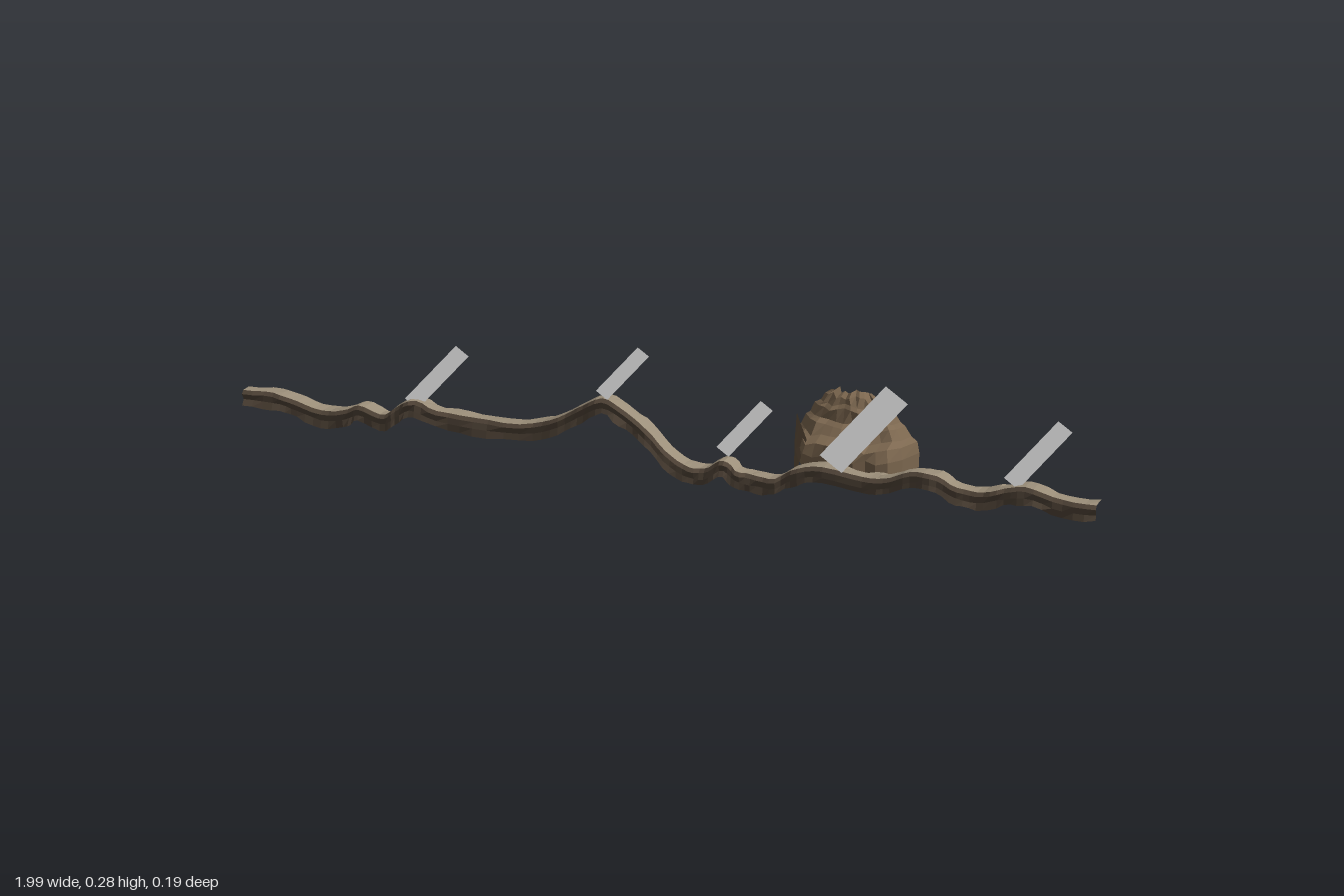
import * as THREE from 'three';

// repeatable pseudo-noise in [-1, 1]
const noise = (i, j = 0) => {
  const s = Math.sin(i * 127.1 + j * 311.7) * 43758.5453;
  return 2 * (s - Math.floor(s)) - 1;
};

// open faceted sheet through rows of [x, y, z] points
function sheet(name, rows, color) {
  const n = rows[0].length, index = [];
  for (let r = 0; r < rows.length - 1; r++)
    for (let c = 0; c < n - 1; c++) {
      const a = r * n + c, b = a + 1, d = a + n, e = d + 1;
      index.push(a, b, e, a, e, d);
    }
  const g = new THREE.BufferGeometry();
  g.setAttribute('position', new THREE.Float32BufferAttribute(rows.flat(2), 3));
  g.setIndex(index);
  const flat = g.toNonIndexed();
  flat.computeVertexNormals();
  const mesh = new THREE.Mesh(flat, new THREE.MeshStandardMaterial({
    color, flatShading: true, side: THREE.DoubleSide }));
  mesh.name = name;
  return mesh;
}

// height of the winding ledge along x
const LEDGE = [[-0.985, .085], [-.9, .085], [-.85, .075], [-.78, .06], [-.72, .072], [-.69, .085],
  [-.63, .07], [-.6, .09], [-.56, .112], [-.5, .097], [-.4, .09], [-.27, .095], [-.2, .12],
  [-.15, .15], [-.1, .175], [-.05, .155], [0, .12], [.05, .07], [.1, .045], [.14, .045],
  [.18, .07], [.21, .052], [.25, .045], [.3, .045], [.34, .07], [.4, .085], [.5, .075],
  [.55, .08], [.6, .1], [.65, .1], [.7, .08], [.75, .075], [.8, .09], [.85, .1], [.92, .085], [1, .082]];

function buildLedge() {
  const curve = new THREE.CatmullRomCurve3(LEDGE.map(([x, y]) => new THREE.Vector3(x, y, 0)), false, 'centripetal');
  const pts = curve.getPoints(120);
  const back = [], mid = [], crest = [], brow = [], belly = [], foot = [];
  pts.forEach((p, i) => {
    const k = Math.floor(i / 2), j = .004 * noise(k, 1);
    back.push([p.x, p.y - .004 + .003 * noise(k, 2), .033 + j]);
    mid.push([p.x, p.y + .002 * noise(k, 3), .057]);
    crest.push([p.x, p.y, .078 + j]);
    brow.push([p.x, p.y - .008, .085 + j]);
    belly.push([p.x, p.y - .022, .083 + .004 * noise(k, 4)]);
    foot.push([p.x, p.y - .036 + .004 * noise(k, 5), .086 + .004 * noise(k, 6)]);
  });
  const g = new THREE.Group();
  g.name = 'ledge';
  g.add(sheet('ledgeTop', [crest, mid, back], 0x9c8f7a));
  g.add(sheet('ledgeFront', [foot, belly, brow, crest], 0x54473a));
  return g;
}

// stepped courses of the outcrop: y, front z, front left/right x, rear left/right x, rear z
const COURSES = [
  [.052, .028, .34, .53, .295, .57, -.085],
  [.085, .03, .34, .53, .295, .57, -.085],
  [.11, .022, .345, .525, .295, .565, -.085],
  [.118, -.015, .345, .525, .3, .55, -.09],
  [.14, -.03, .35, .515, .31, .535, -.09],
  [.147, -.044, .355, .505, .32, .525, -.09],
  [.17, -.05, .36, .49, .33, .51, -.088],
  [.178, -.058, .365, .48, .345, .495, -.086],
  [.195, -.066, .375, .46, .355, .475, -.085],
  [.205, -.08, .385, .45, .37, .46, -.085]];

function buildOutcrop() {
  const rows = COURSES.map(([y, zf, xl, xr, bl, br, zb], r) => {
    const row = [[bl, y, zb], [(bl + xl) / 2, y, (zf + zb) / 2]];
    const stone = Math.floor(r / 2);
    for (let i = 0; i <= 8; i++) {
      const t = i / 8;
      row.push([xl + (xr - xl) * t, y + .005 * noise(i, stone + 20),
        zf - .012 * (2 * t - 1) ** 2 + .006 * noise(i, stone + 40)]);
    }
    row.push([(br + xr) / 2, y, (zf + zb) / 2], [br, y, zb]);
    return row;
  });
  const g = new THREE.Group();
  g.name = 'rockOutcrop';
  g.add(sheet('rockFace', rows, 0x7d6850));
  // side wing that drops to the lowest point
  g.add(sheet('rockWing', [
    [[.285, 0, -.088], [.3, 0, -.05], [.315, .002, -.005]],
    [[.283, .07, -.095], [.302, .07, -.045], [.328, .06, .003]],
    [[.288, .138, -.093], [.312, .135, -.045], [.345, .115, .005]]], 0x665440));
  return g;
}

// slanted blades leaning back and to the left: top-left anchor x, y, z, length, width
const BLADES = [
  [-.58, .112, .07, 1, 1], [-.115, .19, .075, .8, .85], [.163, .096, .07, .84, .9],
  [.4, .112, .08, 1.24, 1.6], [.8, .112, .07, 1, 1]];

export function createModel() {
  const model = new THREE.Group();
  model.name = 'rockyLedge';
  model.add(buildLedge(), buildOutcrop());
  for (const [x, y, z, l, w] of BLADES) {
    const at = (u, v) => [x + .09 * l * u + .031 * w * v, y + .11 * l * u - .021 * w * v, z - .08 * l * u];
    model.add(sheet('slantedBlade', [[at(0, 0), at(0, 1)], [at(1, 0), at(1, 1)]], 0xcccccc));
  }
  return model;
}
